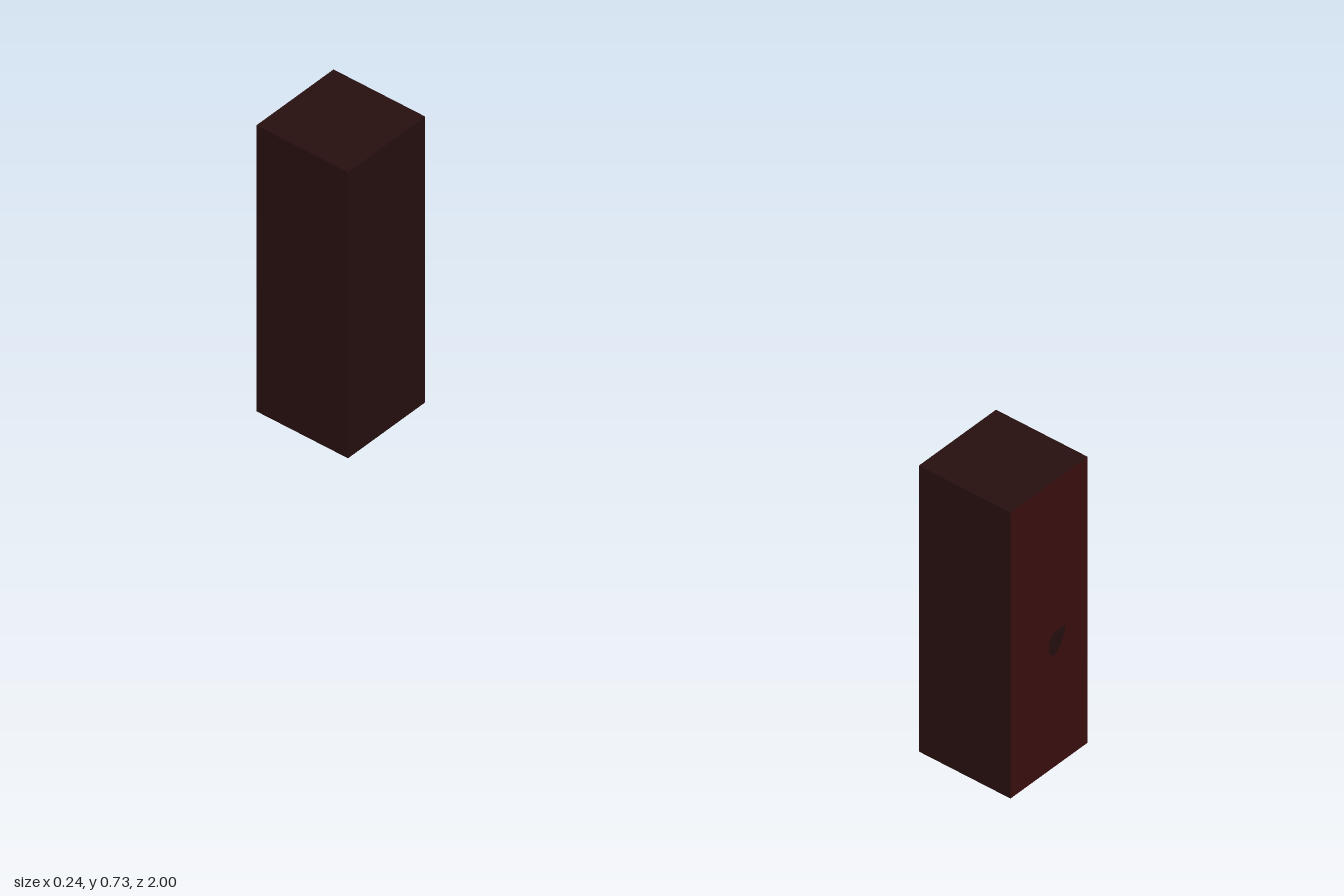
import * as THREE from 'three';

const W = 0.243, H = 0.732, CZ = 1 - W / 2;

export function createModel() {
  const darkWood = new THREE.MeshStandardMaterial({ color: 0x260f0f, side: THREE.DoubleSide });
  darkWood.name = 'darkWood';
  const redWood = new THREE.MeshStandardMaterial({ color: 0x3a0e0e, side: THREE.DoubleSide });
  redWood.name = 'redWood';

  const mesh = (name, geometry, material, parent) => {
    const m = new THREE.Mesh(geometry, material);
    m.name = name;
    parent.add(m);
    return m;
  };

  // Upright rectangle standing on y = 0
  const panelShape = () => new THREE.Shape([
    [-W / 2, 0], [W / 2, 0], [W / 2, H], [-W / 2, H],
  ].map(([x, y]) => new THREE.Vector2(x, y)));

  // Baffle with open woofer, midrange and tweeter holes
  const baffle = panelShape();
  for (const [y, r] of [[0.182, 0.095], [0.425, 0.073], [0.61, 0.036]]) {
    baffle.holes.push(new THREE.Path().absarc(0, y, r, 0, Math.PI * 2, true));
  }
  const baffleGeometry = new THREE.ShapeGeometry(baffle, 16);
  const plainGeometry = new THREE.ShapeGeometry(panelShape());
  const capGeometry = new THREE.PlaneGeometry(W, W);

  // Knot in the red panel, inlaid flush and visible from both sides
  const knot = [
    [0, 0.327], [0.006, 0.337], [0.019, 0.345], [0.05, 0.344], [0.051, 0.33],
    [0.039, 0.305], [0.021, 0.287], [0.007, 0.288], [0.001, 0.3],
  ].map(([x, y]) => new THREE.Vector2(x, y));
  const redShape = panelShape();
  redShape.holes.push(new THREE.Path(knot));

  // Hollow thin-walled cabinet, drivers facing +x
  function makeSpeaker(name, z, hasRedPanel) {
    const g = new THREE.Group();
    g.name = name;
    g.position.z = z;

    const front = mesh('baffle', baffleGeometry, darkWood, g);
    front.position.x = W / 2;
    front.rotation.y = Math.PI / 2;

    const back = mesh('backPanel', plainGeometry, darkWood, g);
    back.position.x = -W / 2;
    back.rotation.y = -Math.PI / 2;

    const rear = mesh('sidePanel', plainGeometry, darkWood, g);
    rear.position.z = -W / 2;
    rear.rotation.y = Math.PI;

    if (hasRedPanel) {
      mesh('redSidePanel', new THREE.ShapeGeometry(redShape), redWood, g).position.z = W / 2;
      mesh('panelKnot', new THREE.ShapeGeometry(new THREE.Shape(knot)), darkWood, g).position.z = W / 2;
    } else {
      mesh('sidePanel', plainGeometry, darkWood, g).position.z = W / 2;
    }

    const top = mesh('topPanel', capGeometry, darkWood, g);
    top.position.y = H;
    top.rotation.x = -Math.PI / 2;
    mesh('bottomPanel', capGeometry, darkWood, g).rotation.x = Math.PI / 2;
    return g;
  }

  const model = new THREE.Group();
  model.name = 'speakerPair';
  model.add(makeSpeaker('frontSpeaker', CZ, true), makeSpeaker('rearSpeaker', -CZ, false));
  return model;
}
